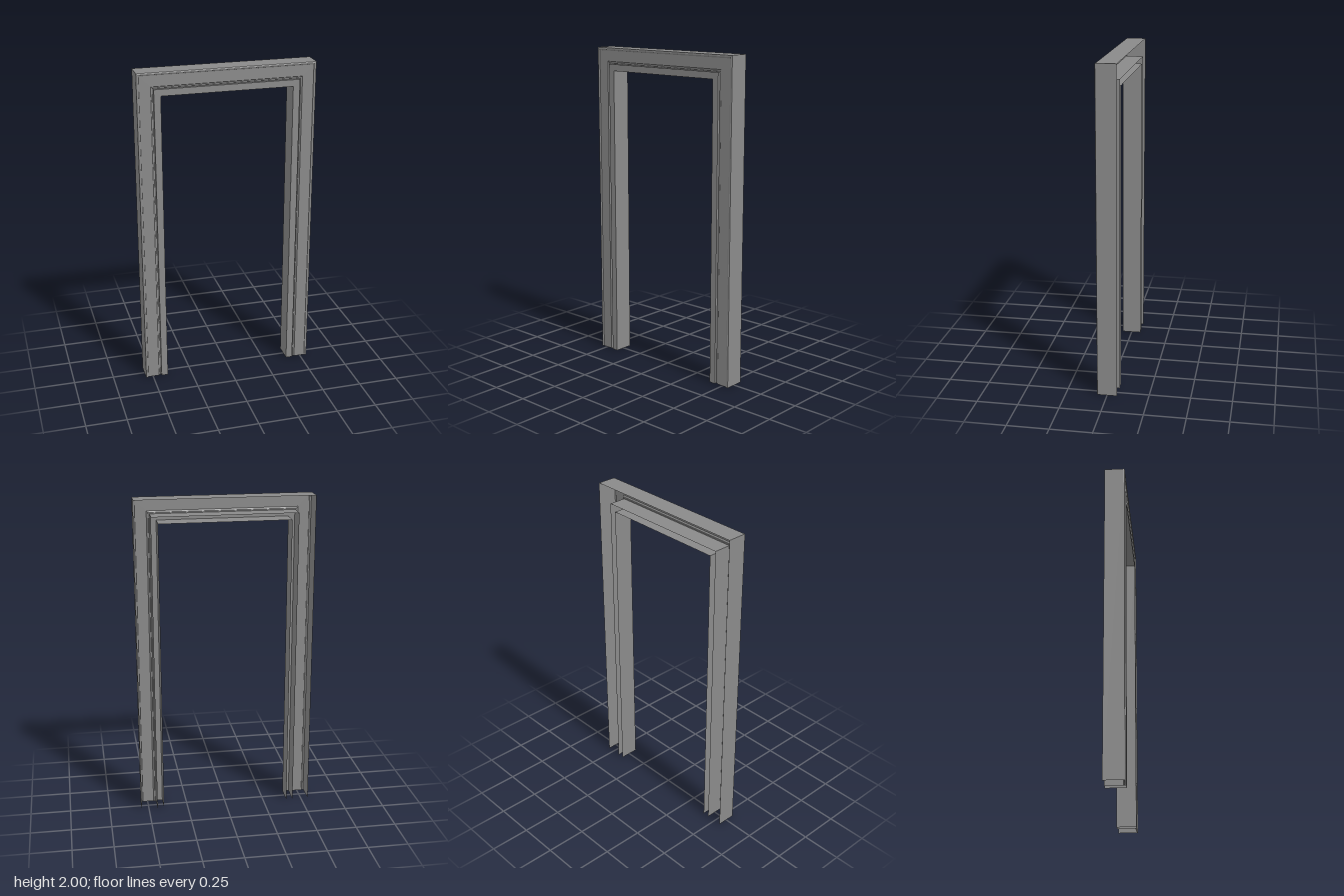
import * as THREE from 'three';

const HALF = 0.403;  // half width of the opening
const HEAD = 1.857;  // height of the opening
const BACK = -0.062;

// Sweeps an open profile of [offset from opening, z] up one leg, across the head
// and down the other, with mitred corners.
function sweepFrame(name, profile, material) {
  const path = d => [
    [-(HALF + d), 0], [-(HALF + d), HEAD + d], [HALF + d, HEAD + d], [HALF + d, 0],
  ];
  const pos = [];
  for (let i = 0; i < profile.length - 1; i++) {
    const [d0, z0] = profile[i];
    const [d1, z1] = profile[i + 1];
    const a = path(d0), b = path(d1);
    for (let k = 0; k < 3; k++) {
      const p = [...a[k], z0], q = [...a[k + 1], z0];
      const r = [...b[k + 1], z1], s = [...b[k], z1];
      pos.push(...p, ...q, ...r, ...p, ...r, ...s);
    }
  }
  const geometry = new THREE.BufferGeometry();
  geometry.setAttribute('position', new THREE.Float32BufferAttribute(pos, 3));
  geometry.computeVertexNormals();
  const mesh = new THREE.Mesh(geometry, material);
  mesh.name = name;
  return mesh;
}

export function createModel() {
  const group = new THREE.Group();
  group.name = 'doorFrame';
  const material = new THREE.MeshStandardMaterial({
    color: 0x8a8a8a, flatShading: true, side: THREE.DoubleSide,
  });

  // Inner lining: a channel open at the back
  group.add(sweepFrame('jambLining', [
    [0.041, BACK], [0.041, 0.061], [0, 0.061], [0, BACK],
  ], material));

  // Moulded casing: side wall, rounded outer bead, flat panel and inner step
  group.add(sweepFrame('casing', [
    [0.143, BACK], [0.143, 0.056], [0.1415, 0.06], [0.138, 0.062], [0.132, 0.062],
    [0.129, 0.06], [0.127, 0.057], [0.124, 0.056], [0.058, 0.056], [0.055, 0.053],
    [0.052, 0.051], [0.049, 0.05], [0.047, 0.047], [0.041, 0.046],
  ], material));

  return group;
}
